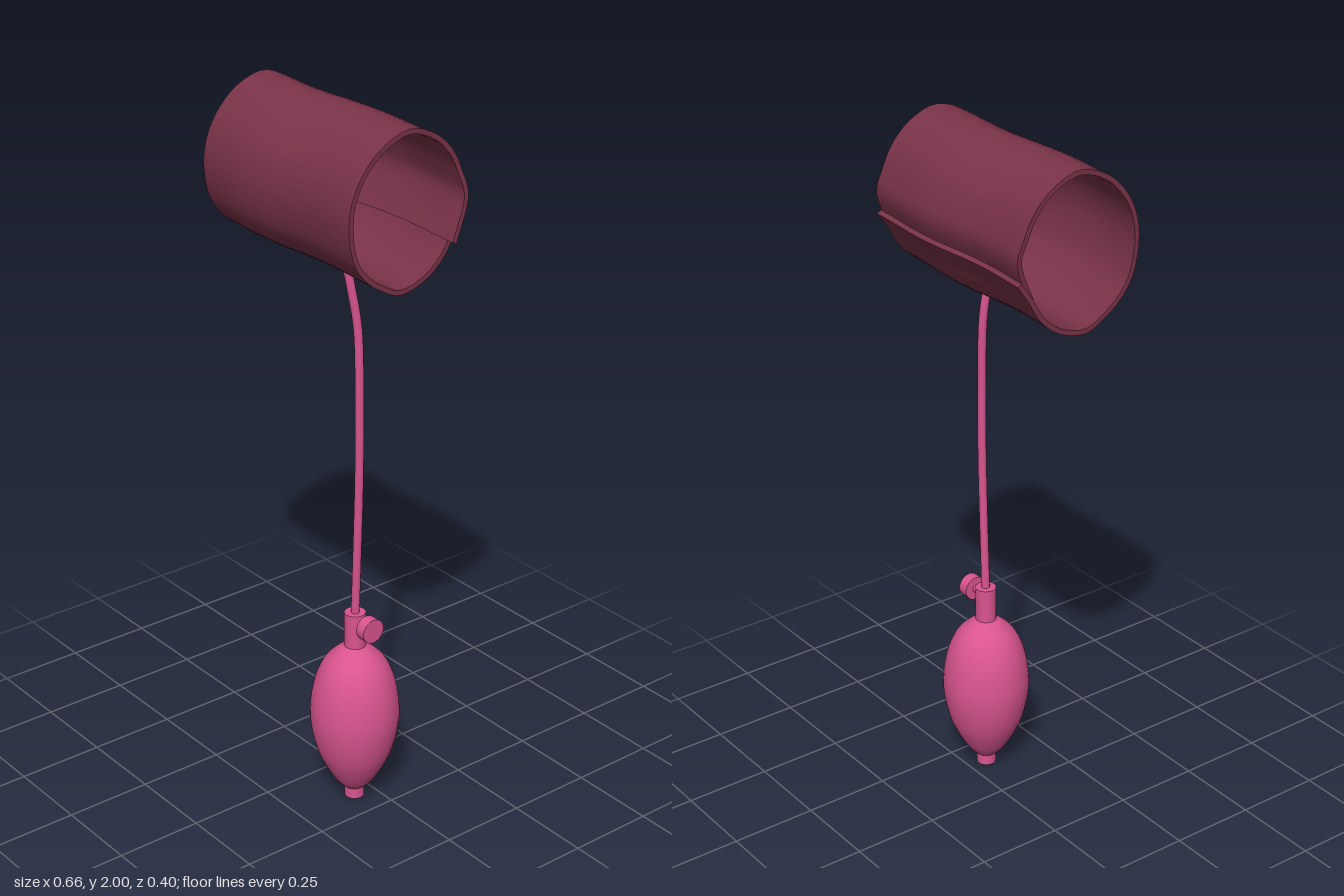
import * as THREE from 'three';
import { toCreasedNormals } from 'three/addons/utils/BufferGeometryUtils.js';

const V2 = (p) => new THREE.Vector2(...p);

// Rolled sheet: a thick strip profile in (z, y), swept along x with a slight ripple
function cuffGeometry() {
  const profile = new THREE.SplineCurve([
    [-0.125, 1.675], [-0.17, 1.78], [-0.158, 1.85], [-0.125, 1.915], [-0.07, 1.965],
    [0.01, 1.991], [0.1, 1.955], [0.165, 1.88], [0.19, 1.79], [0.175, 1.69],
    [0.135, 1.63], [0.08, 1.59], [0.02, 1.566], [-0.06, 1.588], [-0.118, 1.635],
    [-0.152, 1.69], [-0.19, 1.745]].map(V2));
  const N = 64, M = 20, half = 0.007;
  const outer = [], inner = [];
  for (let i = 0; i <= N; i++) {
    const t = i / N, p = profile.getPoint(t), d = profile.getTangent(t);
    // the inner end of the sheet slips out to one side
    const slip = 0.01 - 0.02 * t + 0.018 * Math.max(0, 1 - t / 0.13) - 0.003;
    outer.push([p.x - d.y * -half, p.y - d.x * half, slip]);
    inner.push([p.x + d.y * -half, p.y + d.x * half, slip]);
  }
  // make sure the first list is the side away from the axis
  const away = ([z, y]) => Math.hypot(z, y - 1.78);
  const loop = away(outer[32]) > away(inner[32])
    ? [...outer, ...inner.reverse()] : [...inner, ...outer.reverse()];
  const L = loop.length, pos = [], idx = [];
  for (let j = 0; j <= M; j++) {
    const x = -0.318 + 0.625 * j / M;
    const ripple = -0.006 * Math.sin((x + 0.03) * Math.PI * 2 / 0.46);
    for (const [z, y, slip] of loop) pos.push(x + slip, y, z + ripple);
  }
  for (let j = 0; j < M; j++) for (let i = 0; i < L; i++) {
    const a = j * L + i, b = j * L + (i + 1) % L;
    idx.push(a, b, b + L, a, b + L, a + L);
  }
  // end rims joining the outside and inside edges
  for (let i = 0; i < N; i++) {
    const a = i, b = i + 1, c = L - 2 - i, d = L - 1 - i, e = M * L;
    idx.push(a, c, b, a, d, c, e + a, e + b, e + c, e + a, e + c, e + d);
  }
  const g = new THREE.BufferGeometry();
  g.setAttribute('position', new THREE.Float32BufferAttribute(pos, 3));
  g.setIndex(idx);
  return toCreasedNormals(g, 0.7);
}

export function createModel() {
  const model = new THREE.Group();
  const fabric = new THREE.MeshStandardMaterial({ color: 0x7a3348, side: THREE.DoubleSide });
  const rubber = new THREE.MeshStandardMaterial({ color: 0xd9558f });
  const add = (name, geometry, material, x = 0, y = 0, z = 0, parent = model) => {
    const m = new THREE.Mesh(geometry, material);
    m.name = name;
    m.position.set(x, y, z);
    parent.add(m);
    return m;
  };

  add('armCuff', cuffGeometry(), fabric);

  // Hose from the cuff down to the pump
  const path = new THREE.CatmullRomCurve3([
    [0.15, 1.6, 0.084], [0.156, 1.55, 0.077], [0.164, 1.43, 0.06], [0.172, 1.2, 0.06],
    [0.172, 1.0, 0.06], [0.165, 0.78, 0.06], [0.157, 0.57, 0.06],
  ].map((p) => new THREE.Vector3(...p)));
  add('airHose', new THREE.TubeGeometry(path, 40, 0.012, 12), rubber);

  // Hand pump: bulb, end caps and release valve
  const pump = new THREE.Group();
  pump.name = 'handPump';
  pump.position.set(0.157, 0, 0.06);
  model.add(pump);
  const curve = new THREE.SplineCurve([
    [0.026, 0.03], [0.06, 0.068], [0.104, 0.155], [0.125, 0.26], [0.116, 0.36],
    [0.09, 0.43], [0.055, 0.47], [0.026, 0.49]].map(V2));
  add('squeezeBulb', new THREE.LatheGeometry(curve.getPoints(32), 40), rubber, 0, 0, 0, pump);
  add('bulbInlet', new THREE.CylinderGeometry(0.028, 0.028, 0.05, 24), rubber, 0, 0.025, 0, pump);
  add('valveNeck', new THREE.CylinderGeometry(0.03, 0.03, 0.12, 24), rubber, 0, 0.53, 0, pump);
  const stem = add('valveStem', new THREE.CylinderGeometry(0.011, 0.011, 0.04, 16), rubber, 0.04, 0.563, 0, pump);
  const knob = add('valveKnob', new THREE.CylinderGeometry(0.035, 0.035, 0.032, 24), rubber, 0.064, 0.563, 0, pump);
  stem.rotation.z = knob.rotation.z = Math.PI / 2;

  return model;
}
